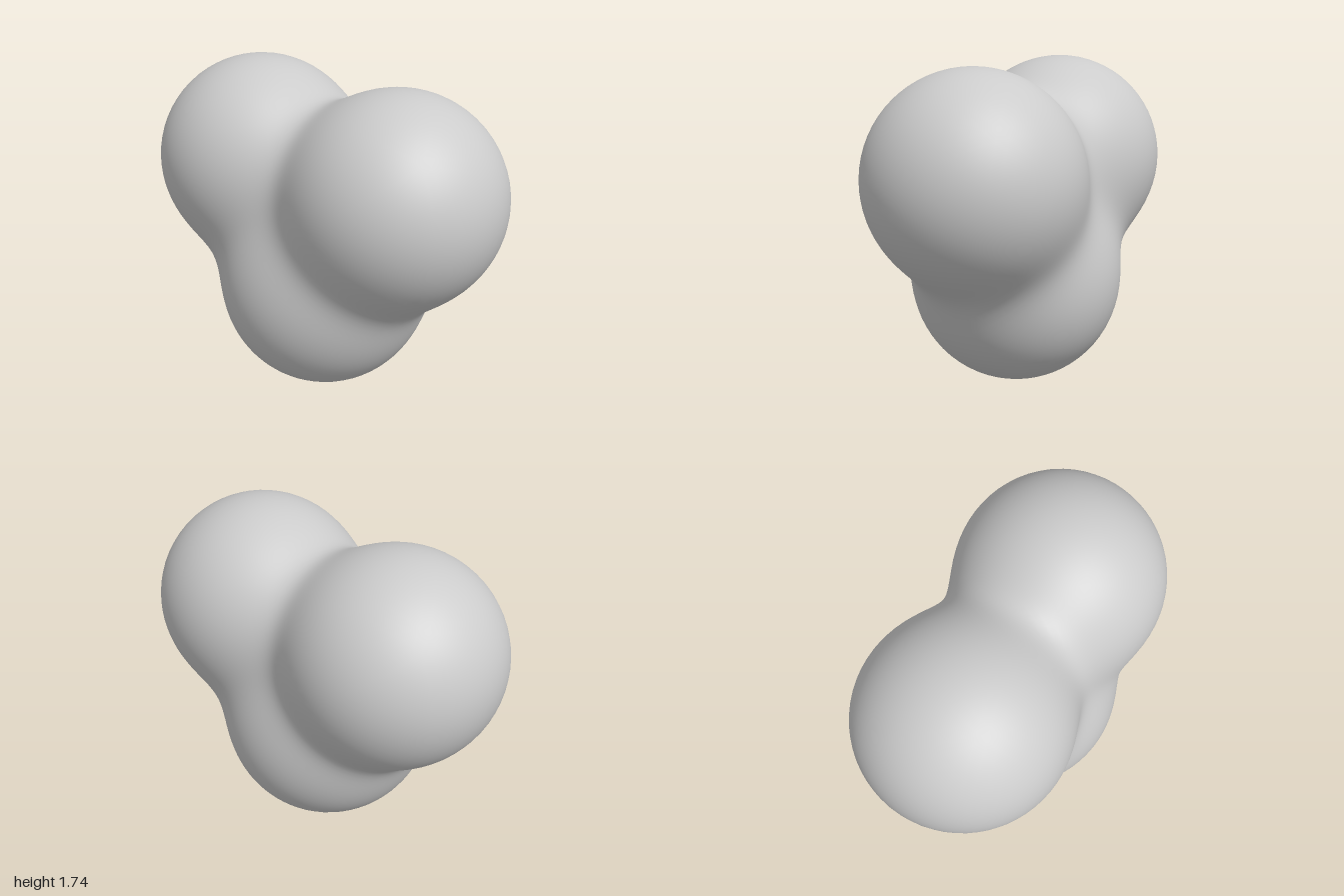
import * as THREE from 'three';
import { mergeVertices } from 'three/addons/utils/BufferGeometryUtils.js';

// Three equal balls that melt into one another
const RADIUS = 0.56;
const BLEND = 0.095;
const balls = [
  new THREE.Vector3(0.15, 1.155, 0.44), // front
  new THREE.Vector3(-0.16, 1.18, -0.44), // back
  new THREE.Vector3(-0.02, 0.562, 0.01), // bottom
];

// Smooth union distance: negative inside the body
function distance(p) {
  let sum = 0;
  for (const c of balls) sum += Math.exp((RADIUS - p.distanceTo(c)) / BLEND);
  return -BLEND * Math.log(sum);
}

// Push each vertex of a sphere out along its ray until it meets the surface
function blendedGeometry() {
  const sphere = new THREE.IcosahedronGeometry(1, 19);
  sphere.deleteAttribute('uv');
  sphere.deleteAttribute('normal');
  const geometry = mergeVertices(sphere, 1e-4);
  const core = new THREE.Vector3();
  balls.forEach((c) => core.addScaledVector(c, 1 / balls.length));
  const pos = geometry.attributes.position;
  const dir = new THREE.Vector3();
  const p = new THREE.Vector3();
  for (let i = 0; i < pos.count; i++) {
    dir.fromBufferAttribute(pos, i).normalize();
    let lo = 0;
    let hi = 2;
    for (let n = 0; n < 24; n++) {
      const mid = (lo + hi) / 2;
      p.copy(core).addScaledVector(dir, mid);
      if (distance(p) < 0) lo = mid;
      else hi = mid;
    }
    pos.setXYZ(i, p.x, p.y, p.z);
  }
  geometry.computeVertexNormals();
  return geometry;
}

export function createModel() {
  const group = new THREE.Group();
  group.name = 'blendedBalls';
  const body = new THREE.Mesh(
    blendedGeometry(),
    new THREE.MeshStandardMaterial({ color: 0xcccccc })
  );
  body.name = 'threeLobedBody';
  group.add(body);
  return group;
}
